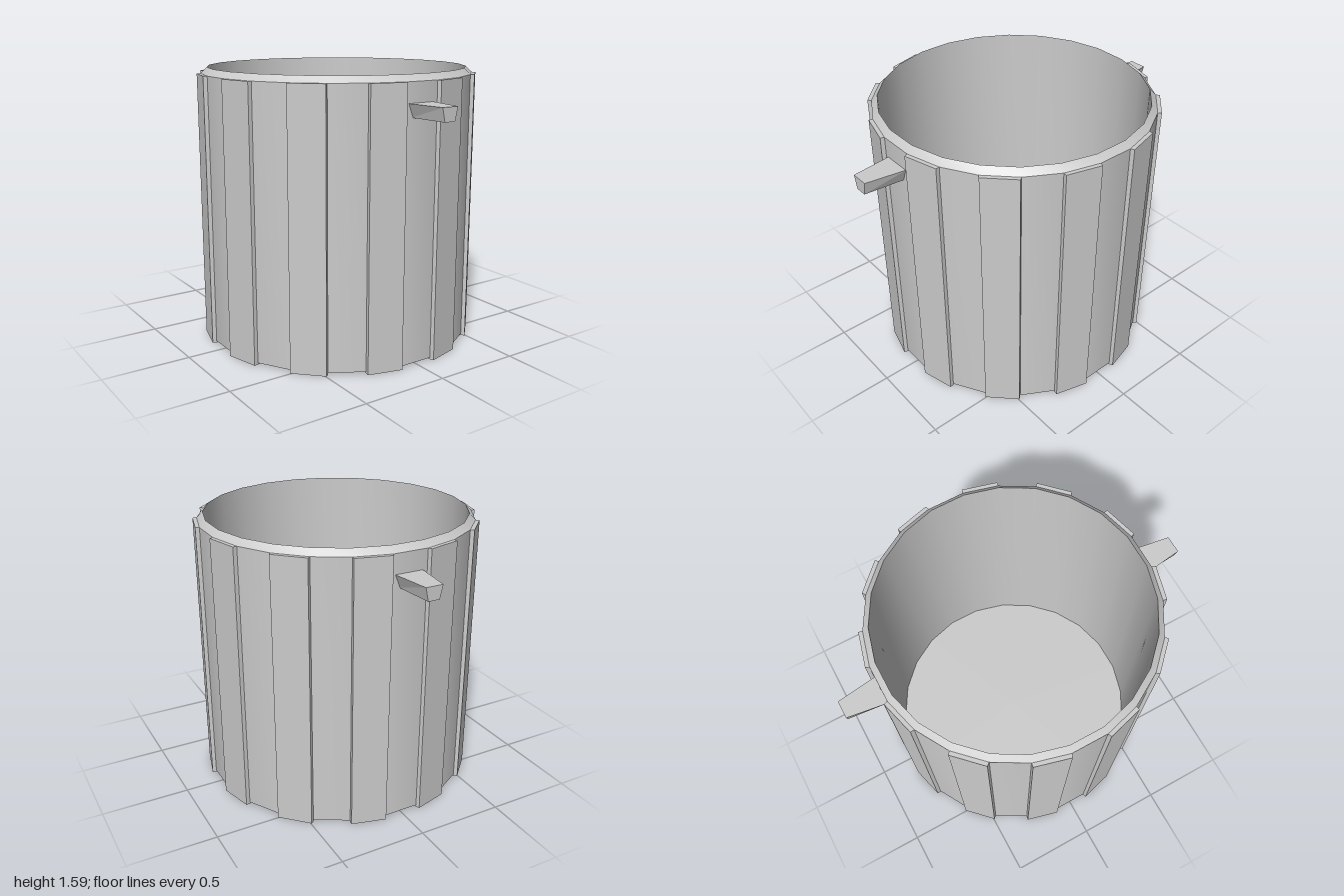
import * as THREE from 'three';
import { toCreasedNormals } from 'three/addons/utils/BufferGeometryUtils.js';

const SIDES = 24;
const STAVES = 12;
const deg = Math.PI / 180;

export function createModel() {
  const model = new THREE.Group();
  const mat = new THREE.MeshStandardMaterial({ color: 0xcccccc });
  const add = (name, geometry, parent = model) => {
    const mesh = new THREE.Mesh(geometry, mat);
    mesh.name = name;
    parent.add(mesh);
    return mesh;
  };

  // Hollow bucket: base, outer wall, bevelled rim, inner wall and floor
  const profile = [
    [0, 0.01], [0.785, 0.01], [0.785, 1.55], [0.75, 1.585], [0.75, 0.03], [0, 0.03],
  ].map(([r, y]) => new THREE.Vector2(r, y));
  const bucket = new THREE.LatheGeometry(profile, SIDES, Math.PI / SIDES);
  add('bucket', toCreasedNormals(bucket, 25 * deg));

  // Raised staves on every other facet of the wall
  const polar = (r, a) => new THREE.Vector2(r * Math.sin(a * deg), -r * Math.cos(a * deg));
  const section = new THREE.Shape([
    polar(0.77, -7.5), polar(0.785, -7.5), polar(0.807, -7.1),
    polar(0.807, 7.1), polar(0.785, 7.5), polar(0.77, 7.5),
  ]);
  const staveGeo = new THREE.ExtrudeGeometry(section, { depth: 1.55, bevelEnabled: false });
  staveGeo.rotateX(-Math.PI / 2);
  const staves = new THREE.Group();
  staves.name = 'staves';
  model.add(staves);
  for (let i = 0; i < STAVES; i++) {
    add('stave', staveGeo, staves).rotation.y = (i + 0.5) * 2 * Math.PI / STAVES;
  }

  // Tapered pegs at front and back, narrower at the tip and underneath
  const pegGeo = new THREE.BoxGeometry(1, 0.075, 0.23).toNonIndexed();
  const p = pegGeo.attributes.position;
  for (let i = 0; i < p.count; i++) {
    const tip = p.getZ(i) > 0;
    const top = p.getY(i) > 0;
    const half = (tip ? 0.05 : 0.082) - (top ? 0 : tip ? 0.017 : 0.03);
    p.setX(i, Math.sign(p.getX(i)) * half - 0.005);
  }
  pegGeo.translate(0, 1.4025, 0.885);
  pegGeo.computeVertexNormals();
  add('frontPeg', pegGeo);
  add('backPeg', pegGeo).rotation.y = Math.PI;

  return model;
}
